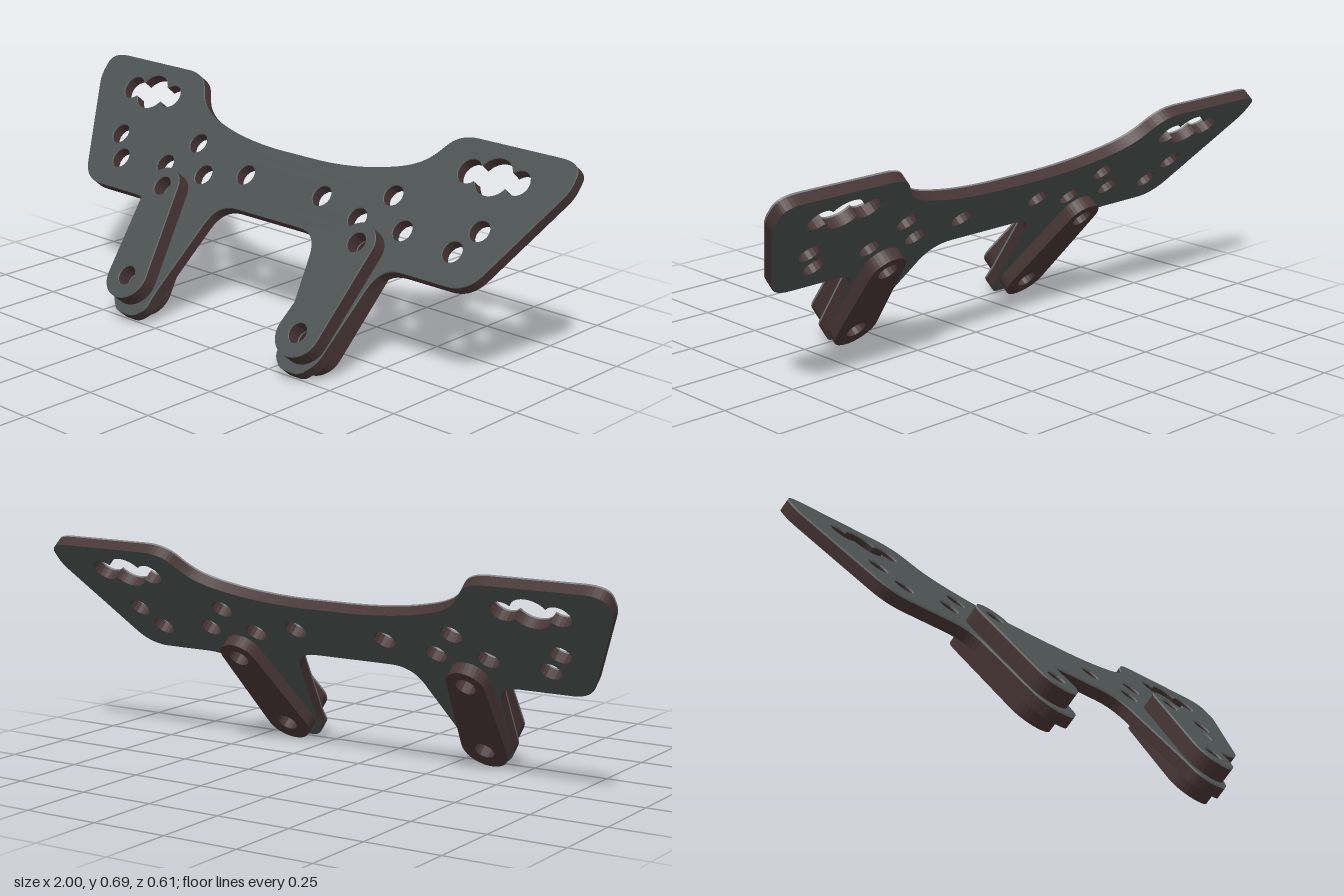
import * as THREE from 'three';

const mat = (name, color) => {
  const m = new THREE.MeshStandardMaterial({ color });
  m.name = name;
  return m;
};

// Traces a closed outline of [x, y, cornerRadius] points with softened corners
function roundedShape(points) {
  const shape = new THREE.Shape();
  const n = points.length;
  const toward = (a, b, r) => {
    const dx = b[0] - a[0], dy = b[1] - a[1], d = Math.hypot(dx, dy);
    const k = Math.min(r, d * 0.48) / d;
    return [a[0] + dx * k, a[1] + dy * k];
  };
  points.forEach((p, i) => {
    const a = toward(p, points[(i + n - 1) % n], p[2]);
    const b = toward(p, points[(i + 1) % n], p[2]);
    if (i === 0) shape.moveTo(...a);
    else shape.lineTo(...a);
    shape.quadraticCurveTo(p[0], p[1], b[0], b[1]);
  });
  shape.closePath();
  return shape;
}

function roundHole(x, y, r) {
  return new THREE.Path().absarc(x, y, r, 0, Math.PI * 2, true);
}

// Slot made of three overlapping circles, a large one in the middle
function lobedSlot(x, y) {
  const offset = 0.09, big = 0.064, small = 0.042;
  const cx = (offset * offset + big * big - small * small) / (2 * offset);
  const h = Math.sqrt(big * big - cx * cx);
  const a = Math.atan2(h, cx), b = Math.atan2(h, cx - offset);
  const path = new THREE.Path();
  path.absarc(x + offset, y, small, -b, b, false);
  path.absarc(x, y, big, a, Math.PI - a, false);
  path.absarc(x - offset, y, small, Math.PI - b, Math.PI + b, false);
  path.absarc(x, y, big, Math.PI + a, Math.PI * 2 - a, false);
  path.closePath();
  return path;
}

// Bar outline: two end circles of different radius joined by tangents
function barShape(lower, upper) {
  const [x0, y0, r0] = lower, [x1, y1, r1] = upper;
  const dir = Math.atan2(y1 - y0, x1 - x0);
  const spread = Math.acos((r0 - r1) / Math.hypot(x1 - x0, y1 - y0));
  const shape = new THREE.Shape();
  shape.absarc(x1, y1, r1, dir - spread, dir + spread, false);
  shape.absarc(x0, y0, r0, dir + spread, dir - spread + Math.PI * 2, false);
  shape.closePath();
  return shape;
}

export function createModel() {
  const grey = mat('slate grey face', 0x4b5251);
  const brown = mat('dark brown edge', 0x483636);
  const light = mat('light grey rim', 0x7c7f7f);

  const model = new THREE.Group();
  model.name = 'tiltedMountingPlate';
  model.rotation.x = THREE.MathUtils.degToRad(-40);
  model.position.set(0, 0.035, 0.283);

  const slab = (name, shape, from, to, materials) => {
    const geometry = new THREE.ExtrudeGeometry(shape, { depth: to - from, bevelEnabled: false, curveSegments: 8 });
    const mesh = new THREE.Mesh(geometry, materials);
    mesh.name = name;
    mesh.position.z = from;
    model.add(mesh);
  };

  // Half of the plate outline, from the middle of the lower edge round to the top arc
  const half = [
    [0.217, 0.44, 0.08], [0.285, 0.09, 0.03], [0.288, 0.035, 0.02], [0.325, 0, 0.02],
    [0.40, 0, 0.02], [0.445, 0.05, 0.03], [0.50, 0.393, 0.08], [0.822, 0.393, 0.07],
    [1.0, 0.767, 0.03], [1.0, 0.862, 0.075], [0.55, 0.862, 0.07], [0.49, 0.764, 0.05],
    [0.42, 0.722, 0.05], [0.29, 0.686, 0.07], [0.14, 0.668, 0.08],
  ];
  const mirrored = half.map(([x, y, r]) => [-x, y, r]).reverse();
  const plate = roundedShape([...half, ...mirrored]);

  // Mounting holes and adjustment slots
  const holes = [[0.774, 0.582], [0.717, 0.499], [0.422, 0.62], [0.514, 0.52], [0.334, 0.52], [0.165, 0.558]];
  const boltLow = [0.375, 0.109], boltHigh = [0.422, 0.429];
  for (const side of [-1, 1]) {
    for (const [x, y] of holes) plate.holes.push(roundHole(side * x, y, 0.036));
    for (const [x, y] of [boltLow, boltHigh]) plate.holes.push(roundHole(side * x, y, 0.034));
    plate.holes.push(lobedSlot(side * 0.733, 0.755));
  }
  slab('plateBody', plate, -0.043, -0.006, [grey, brown]);
  slab('plateFrontRim', plate, -0.006, 0, [grey, light]);

  // Tapered bars clamped to the front and back of each leg
  for (const side of [-1, 1]) {
    const name = side > 0 ? 'left' : 'right';
    const bar = barShape([side * boltLow[0], boltLow[1], 0.079], [side * boltHigh[0], boltHigh[1], 0.065]);
    for (const [x, y] of [boltLow, boltHigh]) bar.holes.push(roundHole(side * x, y, 0.034));
    slab(name + 'FrontBar', bar, 0, 0.051, [grey, brown]);
    slab(name + 'FrontBarRim', bar, 0.051, 0.057, [grey, light]);
    slab(name + 'BackBar', bar, -0.086, -0.043, [brown, brown]);
  }

  const root = new THREE.Group();
  root.name = 'mountingPlateAssembly';
  root.add(model);
  return root;
}
